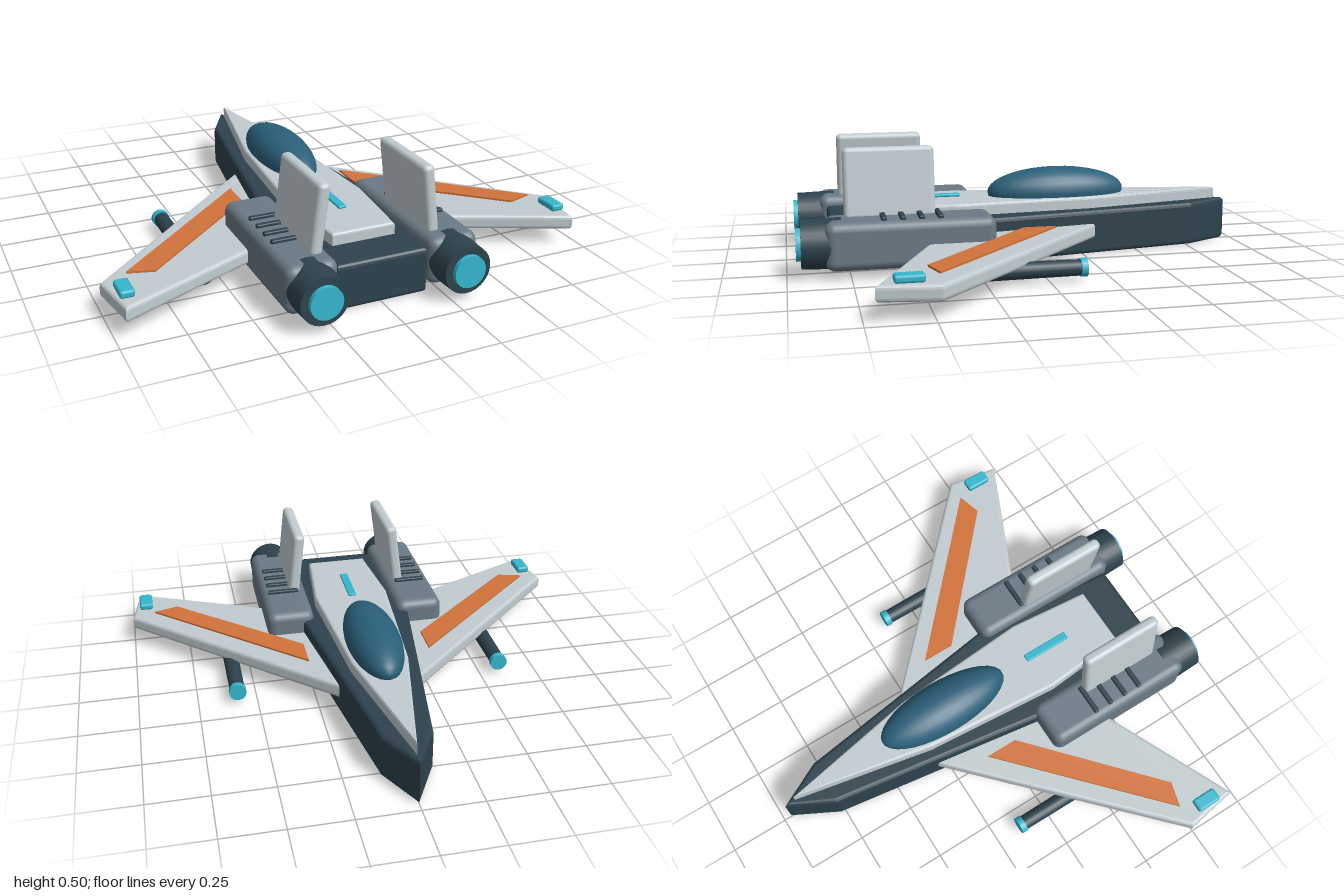
import * as THREE from 'three';
import { RoundedBoxGeometry } from 'three/addons/geometries/RoundedBoxGeometry.js';

const paint = (name, color) => {
  const m = new THREE.MeshStandardMaterial({ color });
  m.name = name;
  return m;
};

export function createModel() {
  const dark = paint('darkSlate', 0x2d424d);
  const light = paint('lightGrey', 0xc2cdd1);
  const grey = paint('midGrey', 0x6b7a86);
  const orange = paint('orange', 0xd2733a);
  const cyan = paint('cyan', 0x35b7ce);
  const glass = paint('blueGlass', 0x2a6079);

  const model = new THREE.Group();
  model.name = 'starfighter';

  const add = (parent, name, geometry, material, x = 0, y = 0, z = 0) => {
    const mesh = new THREE.Mesh(geometry, material);
    mesh.name = name;
    mesh.position.set(x, y, z);
    parent.add(mesh);
    return mesh;
  };

  // Slab with a plan outline in [x, z], from y0 to y1, with rounded edges inside the outline
  const slab = (points, y0, y1, bevel) => {
    const shape = new THREE.Shape(points.map(([x, z]) => new THREE.Vector2(x, z)));
    const geometry = new THREE.ExtrudeGeometry(shape, {
      depth: y1 - y0 - 2 * bevel,
      bevelEnabled: bevel > 0,
      bevelThickness: bevel,
      bevelSize: bevel,
      bevelOffset: -bevel,
      bevelSegments: 3,
    });
    geometry.rotateX(Math.PI / 2);
    geometry.translate(0, y1 - bevel, 0);
    return geometry;
  };

  // Full outline from the right half, starting at the nose tip
  const symmetric = ([tip, ...half]) =>
    [tip, ...half, ...half.map(([x, z]) => [-x, z]).reverse()];

  const cylinderZ = (rFront, rBack, length, sides = 28) =>
    new THREE.CylinderGeometry(rBack, rFront, length, sides).rotateX(Math.PI / 2);

  // Fuselage
  add(model, 'hull', slab(symmetric([
    [0, -0.965], [0.103, -0.77], [0.247, 0.2], [0.19, 0.82],
  ]), 0, 0.19, 0.018), dark);
  add(model, 'upperDeck', slab(symmetric([
    [0, -0.915], [0.122, -0.3], [0.168, 0.3], [0.135, 0.66],
  ]), 0.17, 0.24, 0.012), light);
  const canopy = add(model, 'canopy',
    new THREE.SphereGeometry(1, 28, 18).rotateX(Math.PI / 2), glass, 0, 0.257, -0.17);
  canopy.scale.set(0.115, 0.103, 0.305);
  add(model, 'spineLight', new RoundedBoxGeometry(0.036, 0.012, 0.215, 2, 0.005), cyan, 0, 0.251, 0.367);

  for (const s of [1, -1]) {
    const side = new THREE.Group();
    side.name = s > 0 ? 'leftSide' : 'rightSide';
    model.add(side);
    const mirror = (points) => points.map(([x, z]) => [s * x, z]);

    // Wing with its stripe and tip light
    add(side, 'wing', slab(mirror([
      [0.16, -0.315], [0.998, 0.48], [0.96, 0.708], [0.4, 0.455], [0.16, 0.35],
    ]), 0.07, 0.132, 0.016), light);
    add(side, 'wingStripe', slab(mirror([
      [0.267, -0.105], [0.895, 0.475], [0.79, 0.505], [0.267, 0.035],
    ]), 0.144, 0.152, 0), orange);
    add(side, 'tipLight', new RoundedBoxGeometry(0.058, 0.03, 0.11, 2, 0.01), cyan, s * 0.933, 0.148, 0.588);

    // Engine nacelle, nozzle and glow
    add(side, 'nacelle', new RoundedBoxGeometry(0.21, 0.196, 0.68, 3, 0.038), grey, s * 0.297, 0.132, 0.51);
    add(side, 'nozzle', cylinderZ(0.103, 0.098, 0.16), dark, s * 0.297, 0.132, 0.863);
    add(side, 'exhaustGlow', cylinderZ(0.066, 0.066, 0.03), cyan, s * 0.297, 0.132, 0.947);
    for (let i = 0; i < 4; i++) {
      add(side, 'vent', new RoundedBoxGeometry(0.138, 0.022, 0.022, 2, 0.005), dark, s * 0.302, 0.232, 0.393 + i * 0.075);
    }

    // Tail fin leaning inwards
    const fin = add(side, 'tailFin', new RoundedBoxGeometry(0.05, 0.29, 0.368, 3, 0.02), light, s * 0.232, 0.357, 0.584);
    fin.rotation.z = s * 0.12;

    // Cannon under the wing
    add(side, 'cannonBarrel', cylinderZ(0.032, 0.036, 0.575, 20), dark, s * 0.582, 0.053, 0.165);
    add(side, 'cannonMuzzle', cylinderZ(0.037, 0.037, 0.026, 20), cyan, s * 0.582, 0.053, -0.133);
  }

  return model;
}
